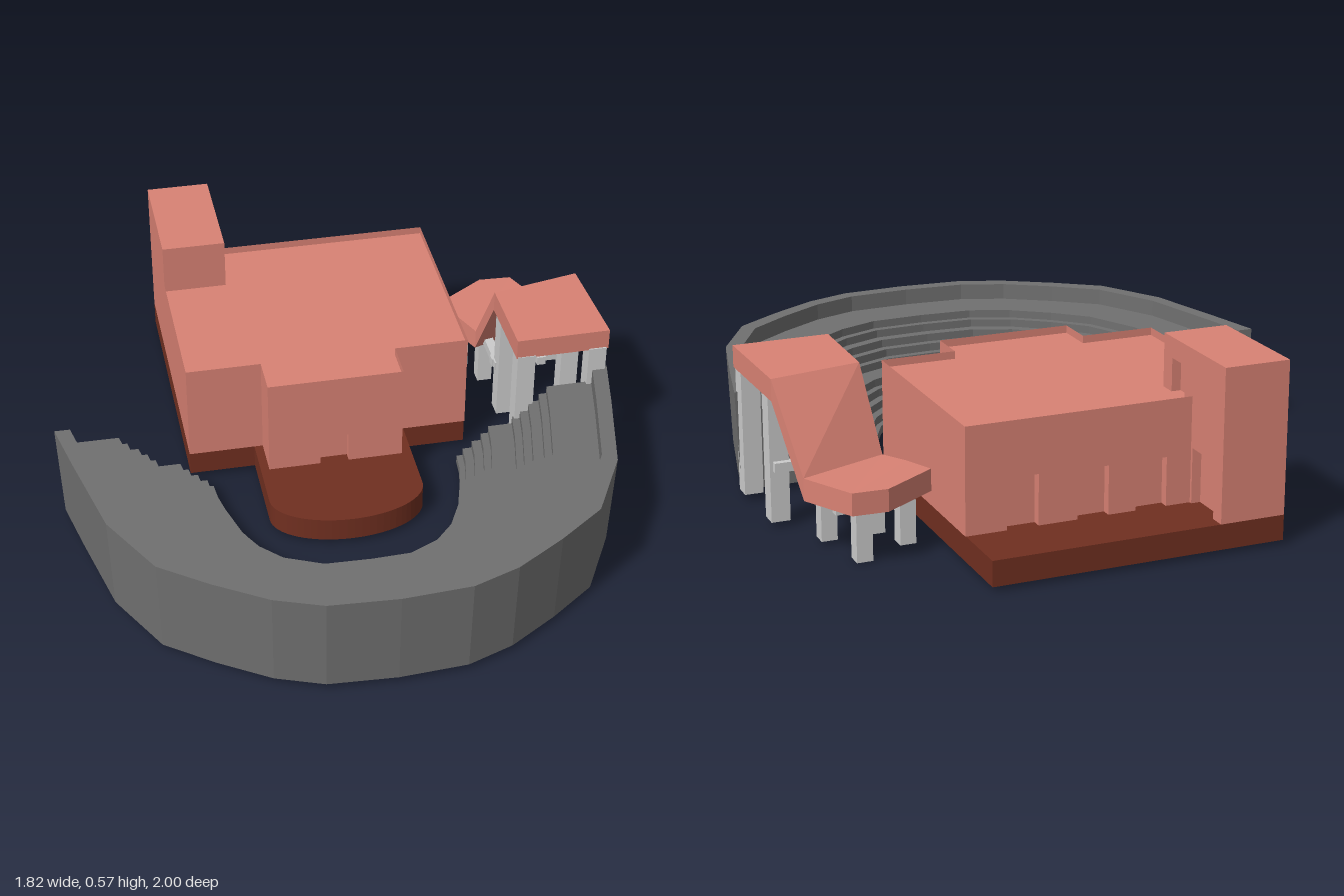
import * as THREE from 'three';

const mat = (color) => new THREE.MeshStandardMaterial({ color, flatShading: true, side: THREE.DoubleSide });
const V = (x, y, z) => new THREE.Vector3(x, y, z);

export function createModel() {
  const root = new THREE.Group();
  const clay = mat(0xd98274), brown = mat(0x702f20), stone = mat(0x707070), grey = mat(0xcccccc);

  const add = (name, geometry, material, parent = root) => {
    const mesh = new THREE.Mesh(geometry, material);
    mesh.name = name;
    parent.add(mesh);
    return mesh;
  };
  const box = (name, x0, x1, y0, y1, z0, z1, material, parent) =>
    add(name, new THREE.BoxGeometry(x1 - x0, y1 - y0, z1 - z0), material, parent)
      .position.set((x0 + x1) / 2, (y0 + y1) / 2, (z0 + z1) / 2);
  const shapeOf = (pts) => new THREE.Shape(pts.map(([x, y]) => new THREE.Vector2(x, y)));
  const extrude = (shape, depth) =>
    new THREE.ExtrudeGeometry(shape, { depth, bevelEnabled: false, curveSegments: 16 });

  // Plan outline in (x, z), raised from y0 to y1
  const plan = (shape, y0, y1) => extrude(shape, y1 - y0).rotateX(Math.PI / 2).translate(0, y1, 0);

  // Wall outline with doorways [from, to, top] cut up from its foot
  const wallShape = (a, b, y0, y1, doors) => {
    const pts = [[a, y0]];
    for (const [d0, d1, top] of doors) pts.push([d0, y0], [d0, top], [d1, top], [d1, y0]);
    pts.push([b, y0], [b, y1], [a, y1]);
    return shapeOf(pts);
  };

  // Closed profile (t across, y up) carried along stations, with capped ends
  const loft = (profile, stations, place) => {
    const rings = stations.map((s) => profile.map(([t, y]) => place(s, t, y)));
    const out = [];
    const tri = (...ps) => ps.forEach((p) => out.push(p.x, p.y, p.z));
    const n = profile.length;
    for (let s = 0; s < rings.length - 1; s++) {
      const A = rings[s], B = rings[s + 1];
      for (let i = 0; i < n; i++) {
        const j = (i + 1) % n;
        tri(A[i], A[j], B[j]);
        tri(A[i], B[j], B[i]);
      }
    }
    const last = rings[rings.length - 1];
    const caps = THREE.ShapeUtils.triangulateShape(profile.map(([t, y]) => new THREE.Vector2(t, y)), []);
    for (const [a, b, c] of caps) {
      tri(rings[0][c], rings[0][b], rings[0][a]);
      tri(last[a], last[b], last[c]);
    }
    const g = new THREE.BufferGeometry();
    g.setAttribute('position', new THREE.Float32BufferAttribute(out, 3));
    g.computeVertexNormals();
    return g;
  };

  // Horseshoe seating: stepped profile from inner edge (t = 0) to outer wall (t = 1)
  const risers = [0, 0.04, 0.1, 0.16, 0.21, 0.37, 0.42, 0.475, 0.545, 0.595];
  const seatProfile = [[0, 0.02], [0.975, 0.02], [1, 0.345], [0.9, 0.345], [0.9, 0.29]];
  for (let i = risers.length - 1; i >= 0; i--) {
    seatProfile.push([risers[i], 0.02 + 0.027 * (i + 1)]);
    if (i > 0) seatProfile.push([risers[i], 0.02 + 0.027 * i]);
  }
  // Half plan: inner x, z and outer x, z
  const half = [
    [0.41, 0.02, 0.91, 0.015], [0.405, 0.08, 0.87, 0.2], [0.39, 0.15, 0.8, 0.5],
    [0.355, 0.27, 0.68, 0.72], [0.31, 0.36, 0.53, 0.83], [0.24, 0.435, 0.37, 0.93],
    [0.13, 0.487, 0.22, 0.985],
  ];
  const mirrored = half.map(([a, b, c, d]) => [-a, b, -c, d]).reverse();
  add('seating', loft(seatProfile, [...half, [0, 0.49, 0, 0.998], ...mirrored],
    ([ix, iz, ox, oz], t, y) => V(ix + (ox - ix) * t, y, iz + (oz - iz) * t)), stone);

  // Base with rounded stage
  const base = new THREE.Shape();
  base.moveTo(-0.47, -1);
  base.lineTo(0.463, -1);
  base.lineTo(0.463, -0.1);
  base.lineTo(0.253, -0.1);
  base.lineTo(0.253, 0.19);
  base.absellipse(0, 0.19, 0.253, 0.14, 0, Math.PI, false);
  base.lineTo(-0.253, -0.1);
  base.lineTo(-0.47, -0.1);
  add('base', plan(base, 0.015, 0.095), brown);

  // Hall with front porch
  const hall = new THREE.Group();
  hall.name = 'hall';
  root.add(hall);
  const F = 0.095, ROOF = 0.405;
  add('hallBody', plan(shapeOf([[-0.47, -0.77], [0.465, -0.77], [0.465, -0.1], [0.22, -0.1],
    [0.22, 0], [-0.225, 0], [-0.225, -0.1], [-0.47, -0.1]]), F, ROOF), clay, hall);
  add('rearWall', extrude(wallShape(-0.26, 0.465, F, ROOF,
    [[-0.18, -0.08, 0.25], [0.01, 0.11, 0.25], [0.235, 0.335, 0.255]]), 0.03).translate(0, 0, -0.8), clay, hall);
  add('porchWall', extrude(wallShape(-0.225, 0.22, F, ROOF, [[-0.055, 0.04, 0.2]]), 0.03), clay, hall);

  // Thin parapet following the roof edge
  const edge = [[-0.26, -0.8], [0.465, -0.8], [0.465, -0.1], [0.22, -0.1], [0.22, 0.03],
    [-0.225, 0.03], [-0.225, -0.1], [-0.47, -0.1], [-0.47, -0.61]];
  for (let i = 0; i < edge.length - 1; i++) {
    const [x0, z0] = edge[i], [x1, z1] = edge[i + 1];
    const g = new THREE.PlaneGeometry(Math.hypot(x1 - x0, z1 - z0), 0.43 - ROOF);
    g.rotateY(Math.atan2(x1 - x0, z1 - z0) + Math.PI / 2);
    g.translate((x0 + x1) / 2, (ROOF + 0.43) / 2, (z0 + z1) / 2);
    add('parapet', g, clay, hall);
  }

  // Corner tower with doorway and roof opening on its inner side
  const tower = new THREE.Group();
  tower.name = 'tower';
  root.add(tower);
  box('towerBody', -0.47, -0.29, F, 0.575, -1, -0.61, clay, tower);
  const side = wallShape(0.61, 1, F, 0.575, [[0.81, 0.95, 0.27]]);
  side.holes.push(new THREE.Path([[0.665, ROOF], [0.665, 0.51], [0.75, 0.51], [0.75, ROOF]]
    .map(([x, y]) => new THREE.Vector2(x, y))));
  add('towerSideWall', extrude(side, 0.03).rotateY(Math.PI / 2).translate(-0.29, 0, 0), clay, tower);

  // Descending canopy: outer x, z, inner x, z, top height
  const spans = [
    [0.907, 0.025, 0.597, 0.028, 0.495], [0.893, -0.33, 0.597, -0.27, 0.487],
    [0.86, -0.52, 0.577, -0.41, 0.235], [0.775, -0.705, 0.535, -0.5, 0.24],
    [0.665, -0.71, 0.492, -0.597, 0.24],
  ];
  add('canopy', loft([[0, -0.07], [1, -0.07], [1, 0], [0, 0]], spans,
    ([ax, az, bx, bz, top], t, y) => V(ax + (bx - ax) * t, top + y, az + (bz - az) * t)), clay);

  // Canopy posts: x, z, width, foot, top
  const supports = new THREE.Group();
  supports.name = 'supports';
  root.add(supports);
  const posts = [
    [0.87, 0, 0.06, 0.02, 0.43], [0.63, 0, 0.06, 0.02, 0.43],
    [0.86, -0.25, 0.06, 0.015, 0.425], [0.64, -0.25, 0.06, 0.015, 0.425],
    [0.62, -0.45, 0.05, 0.01, 0.21], [0.77, -0.45, 0.05, 0.01, 0.21],
    [0.56, -0.555, 0.05, 0.005, 0.175], [0.72, -0.625, 0.05, 0, 0.175],
  ];
  for (const [x, z, w, y0, y1] of posts)
    box('post', x - w / 2, x + w / 2, y0, y1, z - w / 2, z + w / 2, grey, supports);

  // Beams between the posts
  for (const x of [0.62, 0.77]) box('beam', x - 0.015, x + 0.015, 0.18, 0.21, -0.475, -0.25, grey, supports);
  box('crossBeam', 0.6, 0.88, 0.18, 0.21, -0.3, -0.27, grey, supports);
  box('lowCrossBeam', 0.54, 0.78, 0.125, 0.15, -0.57, -0.54, grey, supports);
  box('lowBeam', 0.71, 0.735, 0.125, 0.15, -0.62, -0.45, grey, supports);

  return root;
}
